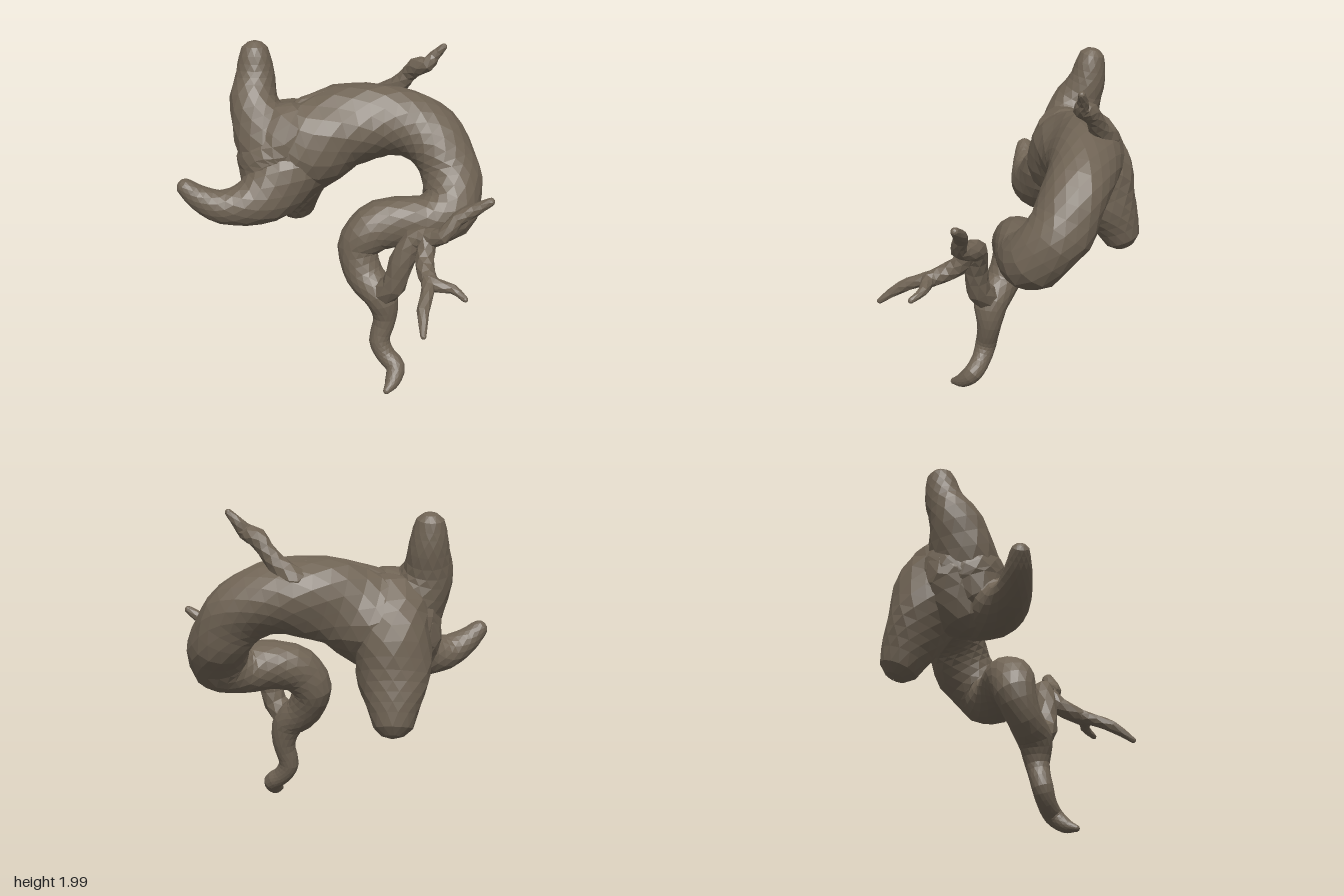
import * as THREE from 'three';

const bark = new THREE.MeshStandardMaterial({ color: 0x6f6354, flatShading: true });
bark.name = 'weathered bark';

// Gentle, repeatable lumpiness of the wood
const lump = (p) =>
  Math.sin(p.x * 13 + p.y * 7) * 0.5 + Math.sin(p.y * 17 - p.z * 11 + 1) * 0.5 + Math.sin(p.z * 23 + p.x * 19 + 2) * 0.35;

// Round-ended limb through stations [x, y, z, radius]
function limb(name, stations, sides = 12, perSpan = 3, rough = 0.06) {
  const path = new THREE.CatmullRomCurve3(stations.map(([x, y, z]) => new THREE.Vector3(x, y, z)));
  const girth = new THREE.CatmullRomCurve3(stations.map((s, i) => new THREE.Vector3(s[3], i * 0.1, 0)));
  const steps = (stations.length - 1) * perSpan;
  const rings = [];
  const cap = (t, dir, angles) => angles.forEach((a) => {
    const r = girth.getPoint(t).x;
    rings.push({
      c: path.getPoint(t).addScaledVector(path.getTangent(t), dir * r * Math.sin(a)),
      t: path.getTangent(t), r: r * Math.cos(a),
    });
  });
  cap(0, -1, [1.55, 1.1, 0.6]);
  for (let i = 0; i <= steps; i++) {
    const t = i / steps;
    rings.push({ c: path.getPoint(t), t: path.getTangent(t), r: girth.getPoint(t).x });
  }
  cap(1, 1, [0.6, 1.1, 1.55]);

  const pos = [], index = [];
  const n = new THREE.Vector3(0.31, 0.2, 0.93);
  rings.forEach(({ c, t, r }, i) => {
    n.addScaledVector(t, -n.dot(t)).normalize(); // carry the frame along without twist
    const b = new THREE.Vector3().crossVectors(t, n);
    for (let j = 0; j < sides; j++) {
      const a = ((j + (i % 2) * 0.5) / sides) * Math.PI * 2;
      const out = n.clone().multiplyScalar(Math.cos(a)).addScaledVector(b, Math.sin(a));
      const p = c.clone().addScaledVector(out, r);
      p.addScaledVector(out, r * rough * lump(p));
      pos.push(p.x, p.y, p.z);
      if (i === rings.length - 1) continue;
      const k = (j + 1) % sides, A = i * sides, B = A + sides;
      if (i % 2) index.push(A + j, B + k, B + j, A + j, A + k, B + k);
      else index.push(A + j, A + k, B + j, A + k, B + k, B + j);
    }
  });
  const g = new THREE.BufferGeometry();
  g.setAttribute('position', new THREE.Float32BufferAttribute(pos, 3));
  g.setIndex(index);
  g.computeVertexNormals();
  const mesh = new THREE.Mesh(g, bark);
  mesh.name = name;
  return mesh;
}

export function createModel() {
  const model = new THREE.Group();
  model.name = 'twistedRoot';
  model.add(
    // Thick arch that curls round into the small loop and down to the foot
    limb('trunk', [
      [-0.53, 1.32, 0.03, 0.27], [-0.4, 1.36, -0.06, 0.295], [-0.22, 1.46, -0.2, 0.255], [-0.02, 1.5, -0.34, 0.225],
      [0.15, 1.46, -0.42, 0.2], [0.3, 1.365, -0.45, 0.195], [0.405, 1.21, -0.425, 0.19],
      [0.475, 1.05, -0.31, 0.185], [0.4, 0.98, -0.18, 0.165], [0.26, 0.99, -0.05, 0.155],
      [0.13, 0.95, 0.05, 0.145], [0.06, 0.82, 0.11, 0.125], [0.13, 0.67, 0.14, 0.115],
      [0.25, 0.57, 0.15, 0.105], [0.285, 0.42, 0.15, 0.074], [0.27, 0.27, 0.185, 0.068],
      [0.32, 0.18, 0.19, 0.06], [0.395, 0.12, 0.2, 0.058], [0.415, 0.055, 0.27, 0.048], [0.415, 0.03, 0.335, 0.024],
    ], 16, 3),

    // Stump prongs, flared where they join the trunk
    limb('upperProng', [
      [-0.5, 1.3, 0.05, 0.21], [-0.59, 1.42, 0.1, 0.215], [-0.68, 1.6, 0.1, 0.16],
      [-0.715, 1.76, 0.045, 0.125], [-0.73, 1.89, 0.02, 0.095],
    ], 14),
    limb('frontProng', [
      [-0.45, 1.26, 0.03, 0.25], [-0.48, 1.16, 0.17, 0.215], [-0.57, 1.07, 0.34, 0.15],
      [-0.69, 1.06, 0.47, 0.112], [-0.79, 1.125, 0.55, 0.082], [-0.855, 1.195, 0.595, 0.058],
    ], 14),
    limb('backProng', [
      [-0.5, 1.37, -0.04, 0.26], [-0.58, 1.18, -0.13, 0.235], [-0.61, 1.0, -0.2, 0.195],
      [-0.635, 0.84, -0.26, 0.142],
    ], 14),
    // Swellings that fill the hollows between the prongs
    limb('stumpUnderside', [[-0.61, 1.28, 0.03, 0.2], [-0.57, 1.11, 0.08, 0.18]], 12),
    limb('stumpFront', [[-0.48, 1.43, 0.06, 0.22], [-0.55, 1.3, 0.12, 0.215], [-0.55, 1.2, 0.16, 0.19]], 14),
    limb('topRidge', [
      [-0.43, 1.59, -0.05, 0.07], [-0.28, 1.63, -0.2, 0.08], [-0.1, 1.65, -0.33, 0.07],
    ], 10),

    // Thin broken twig on top of the arch
    limb('topTwig', [
      [-0.1, 1.62, -0.45, 0.07], [0.01, 1.7, -0.45, 0.065], [0.08, 1.78, -0.46, 0.052],
      [0.14, 1.84, -0.45, 0.056], [0.22, 1.87, -0.44, 0.048], [0.25, 1.92, -0.47, 0.034],
      [0.3, 1.98, -0.49, 0.022],
    ], 7, 2, 0.12),

    // Side branch with its forked twig
    limb('sideBranch', [
      [0.24, 0.58, 0.15, 0.085], [0.36, 0.68, 0.17, 0.08], [0.4, 0.84, 0.16, 0.075],
      [0.46, 0.99, 0.11, 0.07], [0.55, 1.02, 0.1, 0.06], [0.65, 1.06, 0.11, 0.053],
      [0.71, 1.16, 0.05, 0.045], [0.79, 1.22, 0, 0.04], [0.875, 1.28, -0.03, 0.026],
    ], 8, 2, 0.1),
    limb('forkedTwig', [
      [0.55, 1.01, 0.11, 0.055], [0.57, 0.91, 0.18, 0.055], [0.63, 0.86, 0.26, 0.05],
      [0.7, 0.84, 0.3, 0.045], [0.8, 0.825, 0.26, 0.032], [0.89, 0.795, 0.28, 0.02],
    ], 7, 2, 0.1),
    limb('lowerTwig', [
      [0.66, 0.85, 0.29, 0.045], [0.7, 0.82, 0.38, 0.04], [0.73, 0.77, 0.48, 0.034],
      [0.795, 0.68, 0.59, 0.018],
    ], 7, 2, 0.1),
  );
  return model;
}
